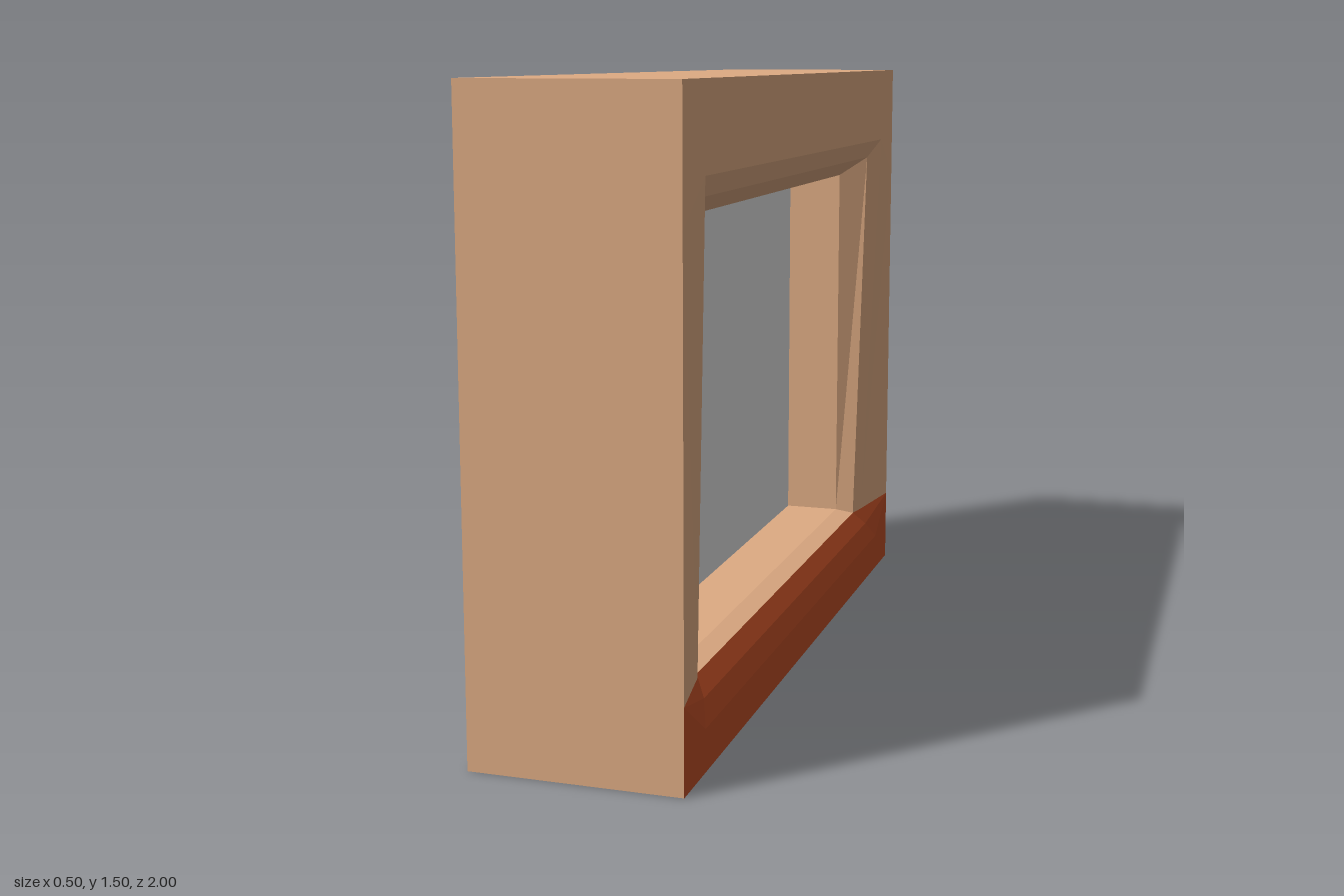
import * as THREE from 'three';

const wood = new THREE.MeshStandardMaterial({ color: 0xdeab83 });
wood.name = 'wood';
const red = new THREE.MeshStandardMaterial({ color: 0xbc4d25 });
red.name = 'red sill paint';
const glass = new THREE.MeshStandardMaterial({ color: 0xdedede });
glass.name = 'pale glass';

const V = (x, y, z) => new THREE.Vector3(x, y, z);
const mirror = (p) => V(p.x, p.y, -p.z);

// Flat triangles, each turned so that it agrees with the facing rule.
function surface(name, polygons, facing, material) {
  const points = [];
  for (const poly of polygons) {
    for (let i = 1; i < poly.length - 1; i++) {
      const [a, b, c] = [poly[0], poly[i], poly[i + 1]];
      const n = b.clone().sub(a).cross(c.clone().sub(a));
      const mid = a.clone().add(b).add(c).divideScalar(3);
      points.push(...(n.dot(facing(mid)) >= 0 ? [a, b, c] : [a, c, b]));
    }
  }
  const geo = new THREE.BufferGeometry().setFromPoints(points);
  geo.computeVertexNormals();
  const mesh = new THREE.Mesh(geo, material);
  mesh.name = name;
  return mesh;
}

// Strips between successive points of a profile and their mirror images.
const strips = (profile) =>
  profile.slice(1).map((p, i) => [profile[i], p, mirror(p), mirror(profile[i])]);
const bothEnds = (polys) => [...polys, ...polys.map((q) => q.map(mirror))];

export function createModel() {
  const group = new THREE.Group();
  group.name = 'windowFrame';

  // Outer faces of the frame block
  const shell = [
    V(0.25, 0, 1), V(0.25, 1.5, 1),
  ];
  const flip = (p) => V(-p.x, p.y, p.z);
  const [lo, hi] = shell;
  group.add(surface('outerFrame', [
    [lo, hi, flip(hi), flip(lo)],
    [lo, hi, flip(hi), flip(lo)].map(mirror),
    [hi, mirror(hi), flip(mirror(hi)), flip(hi)],
    [lo, mirror(lo), flip(mirror(lo)), flip(lo)],
  ], (m) => V(0, (m.y - 0.75) * 1.4, m.z), wood));

  // Corner points of the moulding, from the outer edge to the glass
  const top = (s) => [
    V(s * 0.25, 1.5, 1), V(s * 0.25, 1.3, 0.85), V(s * 0.22, 1.25, 0.8),
    V(s * 0.15, 1.2, 0.75), V(0, 1.2, 0.75),
  ];
  const plainBottom = [
    V(-0.25, 0, 1), V(-0.25, 0.1, 0.85), V(-0.22, 0.15, 0.8),
    V(-0.15, 0.2, 0.75), V(0, 0.2, 0.75),
  ];
  const sillBottom = [
    V(0.25, 0.2, 1), V(0.215, 0.195, 0.8), V(0.2, 0.19, 0.76),
    V(0.15, 0.2, 0.75), V(0, 0.2, 0.75),
  ];
  const towardOpening = (s) => (m) => V(s, 0.7 - m.y, -m.z);
  const jamb = (t, b, from) => {
    const quads = [];
    for (let i = from; i < 4; i++) quads.push([t[i], b[i], b[i + 1], t[i + 1]]);
    return quads;
  };

  // Plain side
  group.add(surface('plainHead', strips(top(-1)), towardOpening(-1), wood));
  group.add(surface('plainJambs', bothEnds(jamb(top(-1), plainBottom, 0)), towardOpening(-1), wood));
  group.add(surface('plainSill', strips(plainBottom), towardOpening(-1), wood));

  // Side with the painted sill; its jambs lean in toward the bottom
  const t = top(1);
  const shoulder = V(0.25, 1.2, 1);
  group.add(surface('head', strips(t), towardOpening(1), wood));
  group.add(surface('jambs', bothEnds([
    [t[0], shoulder, t[1]],
    [shoulder, sillBottom[0], sillBottom[1], t[1]],
    ...jamb(t, sillBottom, 1),
  ]), towardOpening(1), wood));
  group.add(surface('innerSill', strips(sillBottom.slice(2)), towardOpening(1), wood));

  // Painted sill with its raised ends
  const lip = [sillBottom[2], V(0.23, 0.15, 0.8), V(0.25, 0.1, 0.85), V(0.25, 0, 1)];
  group.add(surface('paintedSill',
    [...strips(lip), ...bothEnds([[sillBottom[0], ...lip]])], towardOpening(1), red));

  // Glass pane, seen from both sides
  const pane = new THREE.Mesh(new THREE.BoxGeometry(0.004, 1, 1.5), glass);
  pane.name = 'pane';
  pane.position.y = 0.7;
  group.add(pane);

  return group;
}
